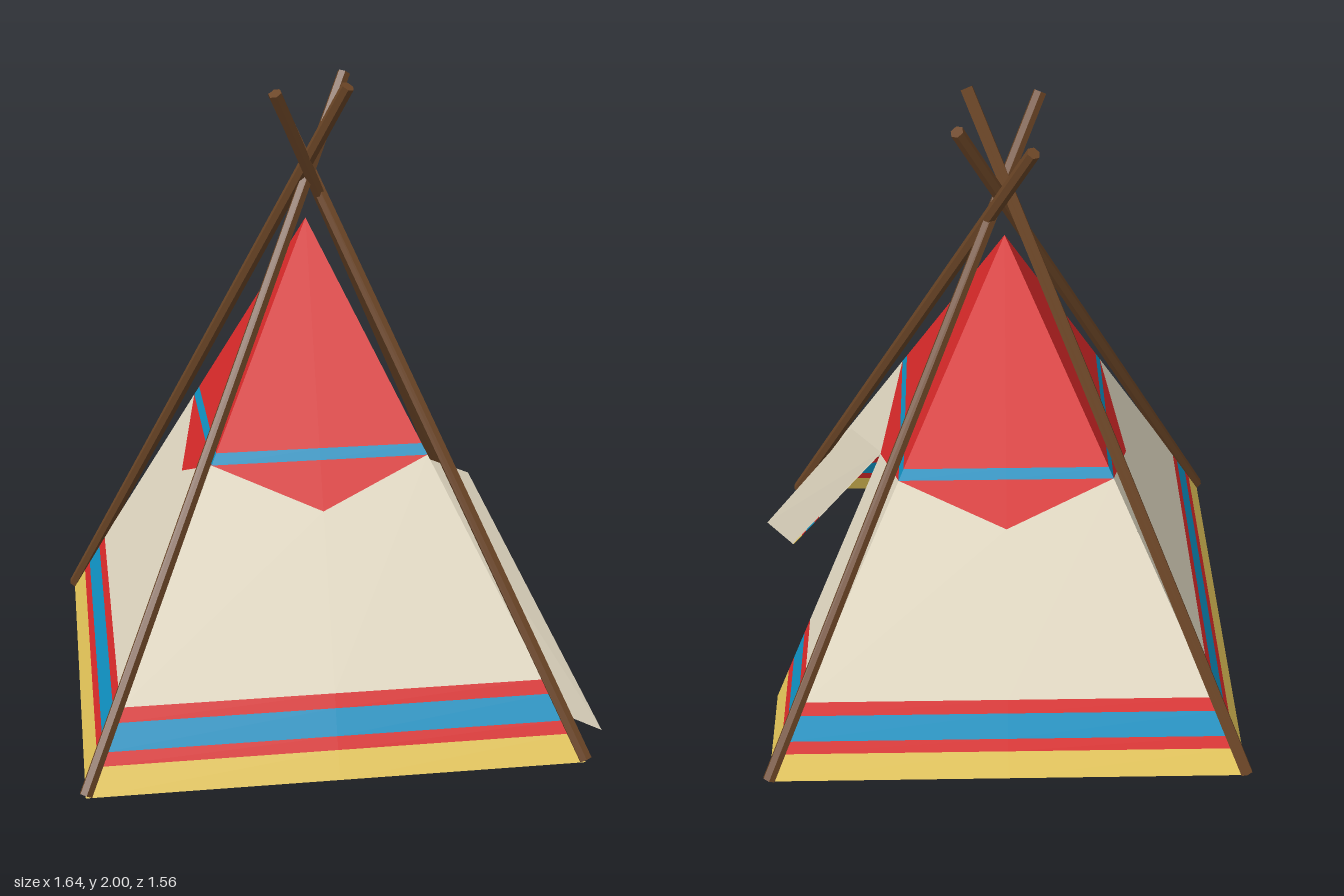
import * as THREE from 'three';

const CX = -0.047, HALF = 0.765, APEX = 1.56, DOOR = 0.735;
const CREAM = 0xe5dcc5, RED = 0xdc2a2a, BLUE = 0x0f93c4, YELLOW = 0xe6c759, WOOD = 0x6b4526;

const fabric = (color) =>
  new THREE.MeshStandardMaterial({ color, flatShading: true, side: THREE.DoubleSide });

// half width of the pyramid at height h
const halfWidth = (h) => HALF * (1 - h / APEX);

// flat patch of cloth: [u, h] outline laid onto a sloping wall that faces +z
function patch(name, color, outline) {
  const geo = new THREE.ShapeGeometry(new THREE.Shape(outline.map(([u, h]) => new THREE.Vector2(u, h))));
  const p = geo.attributes.position;
  for (let i = 0; i < p.count; i++) p.setZ(i, halfWidth(p.getY(i)));
  geo.computeVertexNormals();
  const mesh = new THREE.Mesh(geo, fabric(color));
  mesh.name = name;
  return mesh;
}

// one half of a wall; s is the side (-1 or 1), gap the door width at the ground
function wallHalf(s, gap) {
  const out = (h) => [s * halfWidth(h), h];
  const inn = (h) => [s * gap * Math.max(0, 1 - h / DOOR), h];
  const g = new THREE.Group();
  g.name = 'wallHalf';
  const bands = [
    ['hem', YELLOW, 0.008, 0.088],
    ['lowerRedBand', RED, 0.088, 0.125],
    ['blueBand', BLUE, 0.125, 0.2],
    ['upperRedBand', RED, 0.2, 0.24],
    ['capBlueBand', BLUE, 0.877, 0.91],
  ];
  for (const [name, color, a, b] of bands) g.add(patch(name, color, [inn(a), out(a), out(b), inn(b)]));
  g.add(patch('canvas', CREAM, [inn(0.24), out(0.24), out(0.877), inn(DOOR)]));
  g.add(patch('capPoint', RED, [inn(DOOR), out(0.877), inn(0.877)]));
  g.add(patch('cap', RED, [inn(0.91), out(0.91), [0, APEX]]));
  return g;
}

// round stick between two points
function stick(name, a, b, radius, color) {
  const dir = b.clone().sub(a);
  const mesh = new THREE.Mesh(
    new THREE.CylinderGeometry(radius, radius, dir.length(), 6),
    new THREE.MeshStandardMaterial({ color, flatShading: true })
  );
  mesh.position.copy(a).add(b).multiplyScalar(0.5);
  mesh.quaternion.setFromUnitVectors(new THREE.Vector3(0, 1, 0), dir.normalize());
  mesh.name = name;
  return mesh;
}

export function createModel() {
  const model = new THREE.Group();
  model.name = 'tent';

  // four walls, the one facing +x has the door
  for (let i = 0; i < 4; i++) {
    const wall = new THREE.Group();
    wall.name = i === 1 ? 'doorWall' : 'wall';
    wall.add(wallHalf(1, i === 1 ? 0.375 : 0), wallHalf(-1, i === 1 ? 0.43 : 0));
    wall.rotation.y = (i * Math.PI) / 2;
    wall.position.x = CX;
    model.add(wall);
  }

  // door flap folded outward
  const flap = new THREE.BufferGeometry();
  flap.setAttribute('position', new THREE.Float32BufferAttribute([
    0.358, DOOR, 0.01, 0.46, DOOR, 0.145, 0.82, 0.003, 0.565, 0.715, 0.003, 0.435,
  ], 3));
  flap.setIndex([0, 1, 2, 0, 2, 3]);
  flap.computeVertexNormals();
  const flapMesh = new THREE.Mesh(flap, fabric(CREAM));
  flapMesh.name = 'doorFlap';
  model.add(flapMesh);

  // corner poles crossing above the apex: foot signs, then the top end
  const poles = [
    [-1, -1, 0.065, 1.99, 0.13],
    [1, 1, -0.125, 1.925, -0.165],
    [-1, 1, 0.095, 1.985, -0.145],
    [1, -1, -0.155, 1.975, 0.135],
  ];
  for (const [sx, sz, x, y, z] of poles) {
    const foot = new THREE.Vector3(CX + sx * 0.76, 0.017, sz * 0.76);
    model.add(stick('cornerPole', foot, new THREE.Vector3(x, y, z), 0.021, WOOD));
  }

  // upright post in the middle
  model.add(stick('centrePost', new THREE.Vector3(CX, 0, 0), new THREE.Vector3(CX, 1.5, 0), 0.024, CREAM));
  return model;
}
